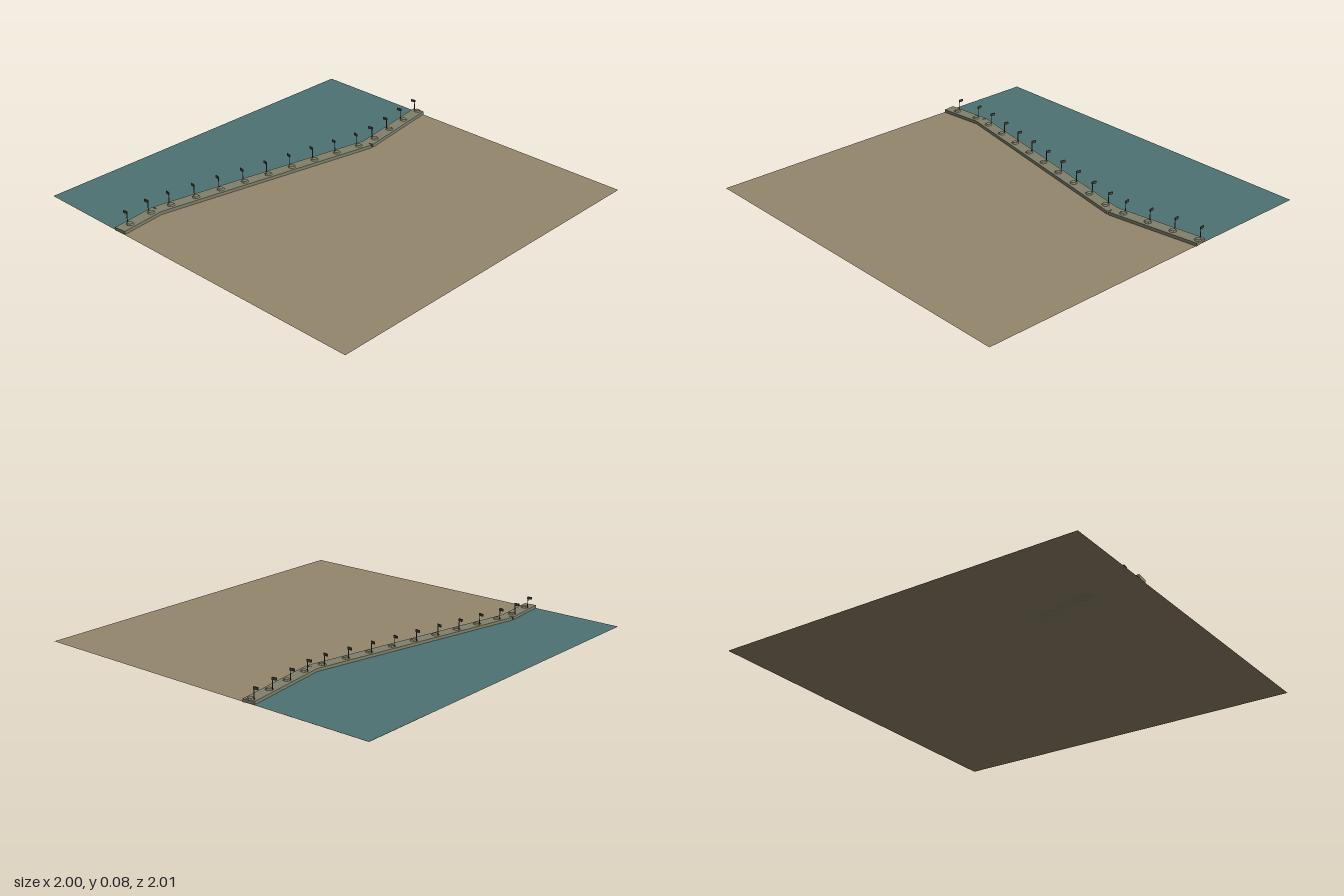
import * as THREE from 'three';

const mat = (color) => new THREE.MeshStandardMaterial({ color, flatShading: true, side: THREE.DoubleSide });

// Centre line of the quay as [x, z], from back to front
const PATH = [[-0.325, -1], [-0.25, -0.5], [-0.5, 0.75], [-0.475, 1]];
const WALL_WIDTH = 0.066, WALL_TOP = 0.017, SPACING = 0.142;

export function createModel() {
  const model = new THREE.Group();
  const sand = mat(0x94866c), water = mat(0x4d7273), stone = mat(0x80806a), iron = mat(0x45453a);

  const add = (parent, name, geometry, material, x = 0, y = 0, z = 0) => {
    const mesh = new THREE.Mesh(geometry, material);
    mesh.name = name;
    mesh.position.set(x, y, z);
    parent.add(mesh);
    return mesh;
  };

  // Flat land, with the water laid over its left part up to the quay line
  add(model, 'land', new THREE.PlaneGeometry(2, 2).rotateX(-Math.PI / 2), sand);
  const outline = [[-1, 1], ...[...PATH].reverse(), [-1, -1]];
  const waterShape = new THREE.Shape(outline.map(([x, z]) => new THREE.Vector2(x, -z)));
  add(model, 'water', new THREE.ShapeGeometry(waterShape).rotateX(-Math.PI / 2), water, 0, 0.002, 0);

  // Shared parts of the mooring points
  const bollardGeometry = new THREE.CylinderGeometry(0.014, 0.02, 0.007, 8);
  const postGeometry = new THREE.CylinderGeometry(0.002, 0.0025, 0.06, 6);
  const headGeometry = new THREE.BoxGeometry(0.026, 0.013, 0.005);

  const addStation = (parent, z) => {
    const station = new THREE.Group();
    station.name = 'quayStation';
    station.position.set(0, WALL_TOP, z);
    add(station, 'bollard', bollardGeometry, stone, 0, 0.0035, 0);
    add(station, 'lampPost', postGeometry, iron, -0.018, 0.03, 0);
    add(station, 'lampHead', headGeometry, iron, -0.028, 0.055, 0);
    parent.add(station);
  };

  // Straight wall sections, each with evenly spaced stations along it
  const firstStation = [0.015, 0.061, 0.041];
  for (let i = 0; i < PATH.length - 1; i++) {
    const [ax, az] = PATH[i], [bx, bz] = PATH[i + 1];
    const length = Math.hypot(bx - ax, bz - az);
    const section = new THREE.Group();
    section.name = 'quaySection';
    section.position.set(ax, 0, az);
    section.rotation.y = Math.atan2(bx - ax, bz - az);
    add(section, 'quayWall', new THREE.BoxGeometry(WALL_WIDTH, WALL_TOP, length), stone, 0, WALL_TOP / 2, length / 2);
    for (let d = firstStation[i]; d < length; d += SPACING) addStation(section, d);
    model.add(section);
  }
  return model;
}
